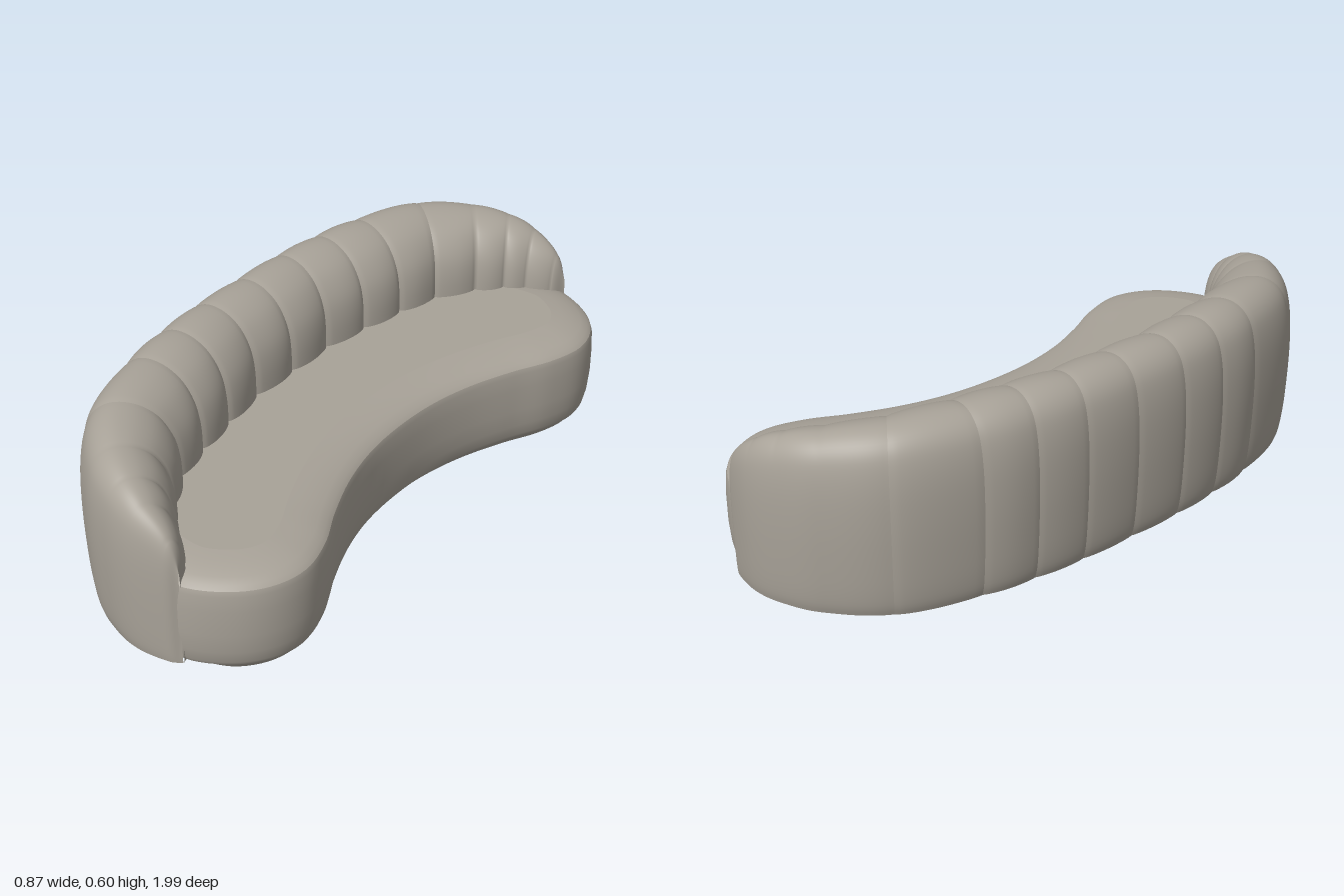
import * as THREE from 'three';

const fabric = new THREE.MeshStandardMaterial({ color: 0xa8a298 });
fabric.name = 'warm grey fabric';

// Skin a list of rings; "closed" joins the last point of each ring to its first
function loft(rings, closed) {
  const n = rings[0].length, pos = [], idx = [];
  rings.forEach(r => r.forEach(p => pos.push(p.x, p.y, p.z)));
  for (let j = 0; j < rings.length - 1; j++) {
    for (let i = 0; i < (closed ? n : n - 1); i++) {
      const k = (i + 1) % n, a = j * n + i, b = j * n + k;
      idx.push(a, a + n, b, b, a + n, b + n);
    }
  }
  const g = new THREE.BufferGeometry();
  g.setAttribute('position', new THREE.Float32BufferAttribute(pos, 3));
  g.setIndex(idx);
  g.computeVertexNormals();
  return g;
}

// Closed plan outline, mirrored in z, with outward normals
function outline(half) {
  const mirrored = half.slice(1, -1).reverse().map(([x, z]) => [x, -z]);
  const curve = new THREE.CatmullRomCurve3(
    [...half, ...mirrored].map(([x, z]) => new THREE.Vector3(x, 0, z)), true);
  const N = 200, pts = curve.getSpacedPoints(N).slice(0, N);
  return pts.map((p, i) => {
    const t = pts[(i + 1) % N].clone().sub(pts[(i + N - 1) % N]).normalize();
    return { p, n: new THREE.Vector3(t.z, 0, -t.x) };
  });
}

// Ring of an outline at height y; the inset may differ between front and back
function ringAt(line, y, front, back = front) {
  return line.map(({ p, n }) => {
    const inset = THREE.MathUtils.lerp(back, front, THREE.MathUtils.smoothstep(n.x, 0, 0.6));
    return p.clone().addScaledVector(n, -inset).setY(y);
  });
}

// Flat cap over a ring, facing up (1) or down (-1)
function cap(ring, dir) {
  const g = new THREE.ShapeGeometry(
    new THREE.Shape(ring.map(p => new THREE.Vector2(p.x, -dir * p.z))));
  return g.rotateX(-dir * Math.PI / 2).translate(0, ring[0].y, 0);
}

export function createModel() {
  const model = new THREE.Group();
  model.name = 'curvedSofa';
  const add = (parent, name, geometry) => {
    const m = new THREE.Mesh(geometry, fabric);
    m.name = name;
    parent.add(m);
  };

  // Kidney-shaped front edge shared by seat and plinth
  const frontEdge = [[0.24, 0], [0.25, 0.15], [0.285, 0.3], [0.345, 0.45], [0.405, 0.57],
    [0.435, 0.69], [0.415, 0.79], [0.35, 0.88], [0.22, 0.955]];

  // Seat: bulging side, creased edge, softly domed top
  const seatLine = outline([...frontEdge, [0.08, 0.955], [-0.05, 0.91], [-0.17, 0.8],
    [-0.25, 0.6], [-0.29, 0.3], [-0.3, 0]]);
  const seat = new THREE.Group();
  seat.name = 'seat';
  model.add(seat);
  const rings = list => list.map(([y, inset]) => ringAt(seatLine, y, inset));
  const side = rings([[0.036, 0.022], [0.05, 0.014], [0.09, 0.005], [0.15, 0], [0.23, 0],
    [0.28, 0.003], [0.296, 0.008]]);
  const top = rings([[0.296, 0.008], [0.308, 0.02], [0.318, 0.042], [0.326, 0.07],
    [0.332, 0.1], [0.336, 0.135]]);
  add(seat, 'seatSide', loft(side, true));
  add(seat, 'seatUnderside', cap(side[0], -1));
  add(seat, 'seatEdge', loft(top, true));
  add(seat, 'seatTop', cap(top[top.length - 1], 1));

  // Recessed plinth under the whole footprint
  const footLine = outline([...frontEdge, [0.09, 0.99], [-0.03, 0.975], [-0.15, 0.92],
    [-0.29, 0.78], [-0.385, 0.53], [-0.42, 0.3], [-0.436, 0]]);
  const plinth = [[0, 0.055, 0.1], [0.003, 0.051, 0.092], [0.015, 0.045, 0.07],
    [0.03, 0.032, 0.04], [0.042, 0.025, 0.025]].map(a => ringAt(footLine, ...a));
  add(model, 'plinth', loft(plinth, true));
  add(model, 'plinthBottom', cap(plinth[0], -1));

  // Backrest seams: outer x, outer z, inner x, inner z, height
  const seams = [
    [-0.428, 0, -0.17, 0, 0.594], [-0.425, 0.19, -0.17, 0.17, 0.594],
    [-0.41, 0.36, -0.145, 0.33, 0.594], [-0.38, 0.53, -0.115, 0.48, 0.592],
    [-0.29, 0.78, -0.075, 0.62, 0.584], [-0.15, 0.92, 0, 0.74, 0.562],
    [-0.03, 0.978, 0.065, 0.81, 0.535], [0.07, 0.996, 0.12, 0.855, 0.497],
    [0.17, 0.98, 0.185, 0.9, 0.43], [0.209, 0.954, 0.211, 0.95, 0.34]];
  const last = seams.length - 1;
  const stations = [
    ...seams.slice(1).reverse().map(([a, b, c, d, h]) => [a, -b, c, -d, h]), ...seams];
  const spline = f => new THREE.CatmullRomCurve3(stations.map(f), false, 'catmullrom');
  const outer = spline(s => new THREE.Vector3(s[0], s[4], s[1]));
  const inner = spline(s => new THREE.Vector3(s[2], 0, s[3]));

  // Backrest section: across (0 outer, 1 inner) and height fraction
  const section = new THREE.SplineCurve([[0.09, 0], [0.05, 0.07], [0.02, 0.22], [0, 0.48],
    [0.012, 0.7], [0.06, 0.85], [0.14, 0.935], [0.27, 0.985], [0.43, 1], [0.62, 0.98],
    [0.8, 0.92], [0.93, 0.82], [0.99, 0.7], [1, 0.53], [0.98, 0.25], [0.93, 0]
  ].map(([w, f]) => new THREE.Vector2(w, f))).getPoints(60);

  // One padded slice at seam position k, puffed out between seams
  function slice(k) {
    const t = THREE.MathUtils.clamp((k + last) / (2 * last), 0, 1);
    const o = outer.getPoint(t), q = inner.getPoint(t), h = o.y;
    o.y = 0;
    const out = o.clone().sub(q), thick = out.length();
    out.normalize();
    const puff = Math.pow(Math.abs(Math.sin(Math.PI * k)), 0.6);
    const isEnd = Math.abs(k) > 4;
    const puffOut = isEnd ? 0 : 0.009, puffTop = isEnd ? 0.003 : 0.007;
    const puffIn = 0.02 * Math.min(1, thick / 0.25);
    return section.map(({ x: w, y: f }) => {
      const p = o.clone().lerp(q, w);
      const push = puffOut * Math.max(0, 1 - 2 * w) - puffIn * Math.max(0, 2 * w - 1);
      p.addScaledVector(out, puff * push);
      p.y = 0.036 + (h - 0.036) * f + puffTop * puff * f * Math.sin(Math.PI * w);
      return p;
    });
  }

  // Channel panels, then the two gathered arm ends
  const back = new THREE.Group();
  back.name = 'channelBackrest';
  model.add(back);
  const panel = (name, from, to) => {
    const steps = 16 * (to - from), list = [];
    for (let i = 0; i <= steps; i++) list.push(slice(from + i / 16));
    add(back, name, loft(list, false));
  };
  for (let k = -4; k < 4; k++) panel('backPanel', k, k + 1);
  panel('rightArmEnd', -last, -4);
  panel('leftArmEnd', 4, last);

  return model;
}
